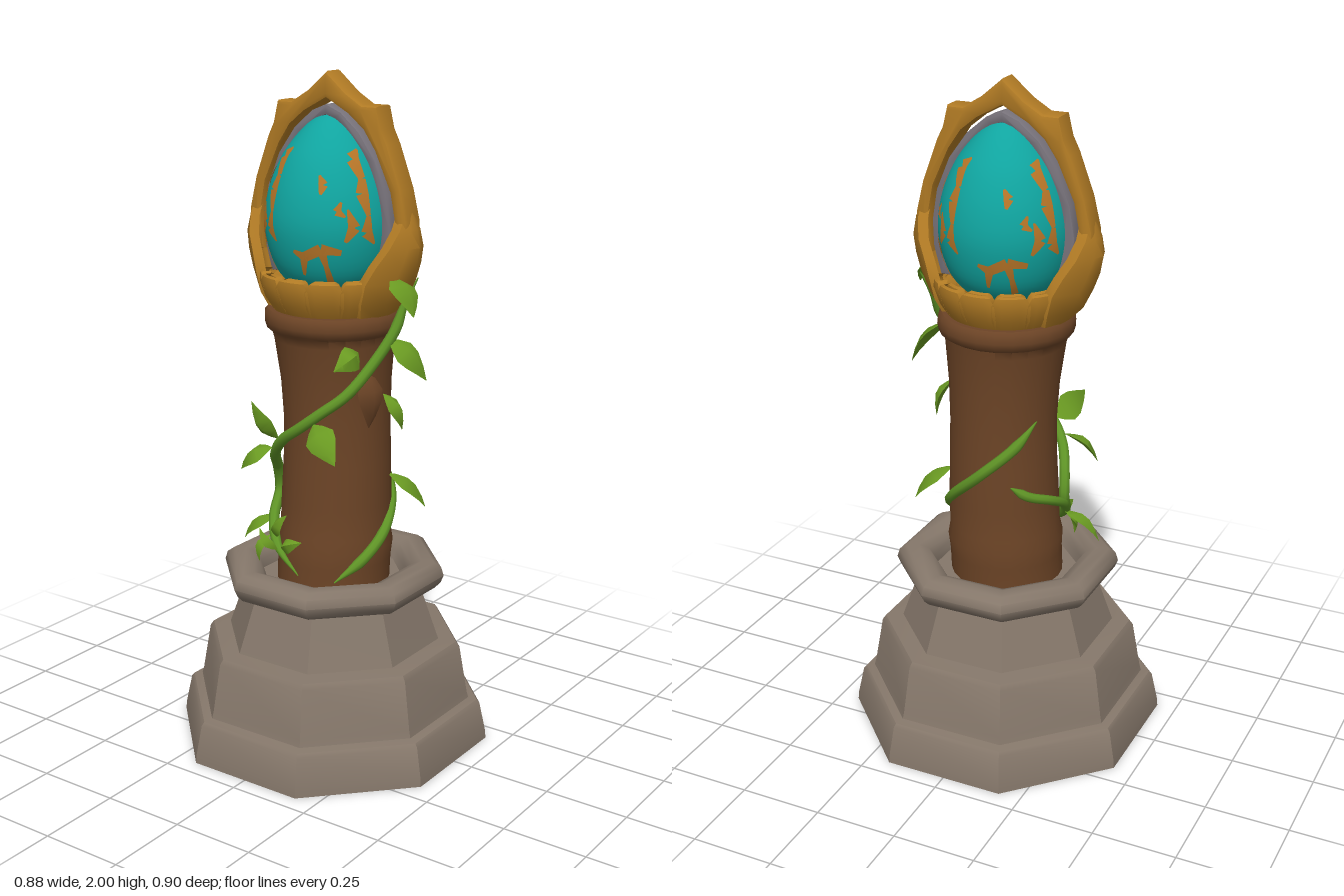
import * as THREE from 'three';
import { toCreasedNormals } from 'three/addons/utils/BufferGeometryUtils.js';

const V3 = (x, y, z) => new THREE.Vector3(x, y, z);
const mat = (name, color, side = THREE.FrontSide) => {
  const m = new THREE.MeshStandardMaterial({ color, side });
  m.name = name;
  return m;
};
const polar = (deg, y, r) => V3(r * Math.sin(deg * Math.PI / 180), y, r * Math.cos(deg * Math.PI / 180));

// Skin a list of closed rings that all have the same number of points
function loft(rings, crease = 0.7) {
  const n = rings[0].length, idx = [];
  for (let i = 0; i < rings.length - 1; i++) {
    for (let j = 0; j < n; j++) {
      const a = i * n + j, b = i * n + (j + 1) % n;
      idx.push(a, b, a + n, b, b + n, a + n);
    }
  }
  const g = new THREE.BufferGeometry().setFromPoints(rings.flat());
  g.setIndex(idx);
  return toCreasedNormals(g, crease);
}

// Curved petal facing +x; rows are [y, radius, half width, wrap of the edges]
function petal(rows, th) {
  return loft(rows.map(([y, r, hw, wrap]) => {
    const ks = [-1, -0.5, 0, 0.5, 1];
    const outer = ks.map(k => V3(r - wrap * k * k, y, -k * hw));
    const inner = [...ks].reverse().map(k => V3(r - th - wrap * k * k, y, -k * hw * 0.92));
    return [...outer, ...inner];
  }));
}

// Folded pointed leaf from base to tip, facing outward from the column
function leafGeometry(base, tip, width) {
  const dir = tip.clone().sub(base), mid = base.clone().add(tip).multiplyScalar(0.5);
  const out = V3(mid.x, 0.06, mid.z).normalize();
  const side = dir.clone().cross(out).normalize();
  const up = side.clone().cross(dir).normalize();
  const shape = [[0, 0.05], [0.15, 0.55], [0.35, 1], [0.55, 0.9], [0.8, 0.45], [1, 0.03]];
  return loft(shape.map(([t, w]) => {
    const c = base.clone().addScaledVector(dir, t).addScaledVector(up, 0.02 * Math.sin(t * Math.PI));
    const p = (s, u) => c.clone().addScaledVector(side, s * w * width / 2).addScaledVector(up, u * w);
    return [p(-1, -0.008), p(0, 0.012), p(1, -0.008), p(0, -0.006)];
  }), 0.9);
}

// Vine whose ends taper
function vineGeometry(points, radius) {
  const curve = new THREE.CatmullRomCurve3(points.map(p => polar(...p)));
  const seg = 70, sides = 8, g = new THREE.TubeGeometry(curve, seg, radius, sides);
  const pos = g.attributes.position, v = V3(0, 0, 0);
  for (let i = 0; i <= seg; i++) {
    const c = curve.getPointAt(i / seg), k = Math.min(1, 0.1 + 8 * Math.min(i, seg - i) / seg);
    for (let j = 0; j <= sides; j++) {
      const q = i * (sides + 1) + j;
      v.fromBufferAttribute(pos, q).sub(c).multiplyScalar(k).add(c);
      pos.setXYZ(q, v.x, v.y, v.z);
    }
  }
  return g;
}

export function createModel() {
  const group = new THREE.Group();
  const stone = mat('stone', 0x85776a), wood = mat('wood', 0x6c4426);
  const gold = mat('gold', 0xb07a24, THREE.DoubleSide), teal = mat('eggTeal', 0x10a5a0);
  const amber = mat('amber', 0xb87628, THREE.DoubleSide), grey = mat('greyFrame', 0x77727a);
  const green = mat('leafGreen', 0x6a9a22, THREE.DoubleSide), vineGreen = mat('vineGreen', 0x5f9426);
  const add = (name, geo, m, parent = group) => {
    const mesh = new THREE.Mesh(geo, m);
    mesh.name = name;
    parent.add(mesh);
    return mesh;
  };
  const addGroup = name => {
    const g = new THREE.Group();
    g.name = name;
    group.add(g);
    return g;
  };

  // Octagonal stone plinth and rounded rim; profiles give the distance to each flat
  const octagon = (profile, crease) => {
    const g = new THREE.LatheGeometry(profile.map(([r, y]) => new THREE.Vector2(r / Math.cos(Math.PI / 8), y)), 8);
    g.rotateY(Math.PI / 8).scale(1, 1, 1.02);
    return toCreasedNormals(g, crease);
  };
  add('plinth', octagon([[0, 0], [0.44, 0], [0.438, 0.025], [0.42, 0.115], [0.412, 0.125], [0.388, 0.13],
    [0.383, 0.15], [0.36, 0.295], [0.35, 0.31], [0.3, 0.315], [0.295, 0.33], [0.245, 0.485], [0.2, 0.5]], 0.5), stone);
  add('plinthRim', octagon([[0.24, 0.475], [0.288, 0.48], [0.303, 0.497], [0.312, 0.52], [0.305, 0.545], [0.285, 0.56],
    [0.25, 0.562], [0.222, 0.55], [0.208, 0.525], [0.2, 0.5], [0.12, 0.5]], 0.9), stone);

  // Trunk with a slight sway
  const trunk = new THREE.LatheGeometry([[0.17, 0.49], [0.17, 0.57], [0.174, 0.62], [0.166, 0.66], [0.165, 0.75], [0.16, 0.88],
    [0.158, 1], [0.163, 1.12], [0.176, 1.24], [0.181, 1.265], [0.196, 1.275], [0.201, 1.295], [0.199, 1.32], [0.19, 1.33], [0, 1.33]]
    .map(p => new THREE.Vector2(...p)), 24);
  const tp = trunk.attributes.position;
  for (let i = 0; i < tp.count; i++) {
    const s = Math.sin((tp.getY(i) - 0.49) / 0.84 * Math.PI);
    tp.setX(i, tp.getX(i) + 0.008 * s);
    tp.setZ(i, tp.getZ(i) - 0.01 * s);
  }
  add('trunk', toCreasedNormals(trunk, 0.8), wood);
  add('barkScale', leafGeometry(V3(0.155, 1.17, 0.05), V3(0.16, 1.0, 0.05), 0.09), wood);

  // Egg
  const eggPts = new THREE.SplineCurve([[0, 1.36], [0.1, 1.385], [0.165, 1.45], [0.195, 1.56], [0.186, 1.66], [0.15, 1.755],
    [0.1, 1.825], [0.05, 1.87], [0, 1.892]].map(p => new THREE.Vector2(...p))).getPoints(40);
  eggPts[0].x = eggPts[40].x = 0;
  add('egg', new THREE.LatheGeometry(eggPts, 48), teal);
  const eggRadius = y => {
    const i = Math.max(1, eggPts.findIndex(p => p.y >= y)), a = eggPts[i - 1], b = eggPts[i];
    return THREE.MathUtils.lerp(a.x, b.x, (y - a.y) / (b.y - a.y));
  };

  // Amber cracks laid on the egg; points are [angle, y, half width]
  const crackGeometry = (pts, turn) => {
    const verts = [], idx = [];
    for (let i = 0; i < pts.length - 1; i++) {
      const [a0, y0, w0] = pts[i], [a1, y1, w1] = pts[i + 1];
      const dx = (a1 - a0) * 0.0032, dy = y1 - y0, len = Math.hypot(dx, dy);
      for (let s = 0; s <= 4; s++) {
        const t = s / 4, w = w0 + (w1 - w0) * t;
        for (const k of [-1, 0, 1]) {
          const y = y0 + dy * t + k * w * dx / len, r = eggRadius(y) + 0.003;
          const a = a0 + (a1 - a0) * t - k * w * dy / len / r * 57.3;
          verts.push(polar(a + turn, y, r));
        }
        const q = verts.length - 3;
        if (s) for (const j of [0, 1]) idx.push(q + j - 3, q + j, q + j - 2, q + j - 2, q + j, q + j + 1);
      }
    }
    const g = new THREE.BufferGeometry().setFromPoints(verts);
    g.setIndex(idx);
    g.computeVertexNormals();
    return g;
  };
  const cracks = [
    [[-24, 1.795, 0.003], [-33, 1.77, 0.02], [-27, 1.72, 0.011], [-29, 1.68, 0.02], [-25, 1.62, 0.007], [-27, 1.575, 0.018], [-19, 1.54, 0.003]],
    [[22, 1.73, 0.003], [26, 1.705, 0.014], [24, 1.68, 0.004]],
    [[0, 1.52, 0.005], [10, 1.505, 0.014], [25, 1.53, 0.016], [42, 1.52, 0.008]],
    [[25, 1.53, 0.014], [29, 1.48, 0.007], [33, 1.43, 0.01]],
    [[10, 1.51, 0.014], [7, 1.45, 0.004]],
    [[47, 1.64, 0.003], [52, 1.59, 0.018], [45, 1.55, 0.005]],
    [[-48, 1.66, 0.003], [-52, 1.635, 0.012], [-45, 1.62, 0.003]],
  ];
  const crackGroup = addGroup('eggCracks');
  for (const turn of [0, 90, 180, 270]) cracks.forEach(c => add('eggCrack', crackGeometry(c, turn), amber, crackGroup));

  // Gold cup of small petals around the egg
  const cup = addGroup('cup');
  add('cupBowl', new THREE.LatheGeometry([[0.14, 1.322], [0.165, 1.33], [0.185, 1.37], [0.19, 1.41], [0.175, 1.42], [0.15, 1.4]]
    .map(p => new THREE.Vector2(...p)), 24), gold, cup);
  const small = petal([[1.32, 0.168, 0.042, 0.006], [1.36, 0.195, 0.053, 0.008], [1.41, 0.212, 0.055, 0.009],
    [1.432, 0.21, 0.042, 0.006], [1.437, 0.203, 0.03, 0.004]], 0.025);
  for (const face of [90, 270]) {
    for (let i = -2; i <= 2; i++) {
      add('cupPetal', small, gold, cup).rotation.y = (face + i * 28) * Math.PI / 180;
    }
  }

  // Large side petals
  const large = petal([[1.325, 0.19, 0.095, 0.03], [1.37, 0.235, 0.115, 0.06], [1.43, 0.265, 0.117, 0.075], [1.48, 0.284, 0.1, 0.07],
    [1.53, 0.293, 0.078, 0.05], [1.58, 0.284, 0.05, 0.025], [1.615, 0.27, 0.03, 0.01], [1.645, 0.258, 0.004, 0.001]], 0.03);
  for (const a of [0, Math.PI]) add('sidePetal', large, gold).rotation.y = a;

  // Pointed gold arch over the egg
  const mirrorShape = (half, closeHalf) => {
    const outer = [...half, ...half.slice(0, -1).reverse().map(([x, y]) => [-x, y])];
    const inner = [...closeHalf.map(([x, y]) => [-x, y]), ...closeHalf.slice(0, -1).reverse()];
    return new THREE.Shape([...outer, ...inner].map(p => new THREE.Vector2(...p)));
  };
  const plate = (shape, depth, bevel) => {
    const g = new THREE.ExtrudeGeometry(shape, { depth: depth - 2 * bevel, bevelEnabled: true, bevelThickness: bevel,
      bevelSize: bevel, bevelOffset: -bevel, bevelSegments: 2 });
    return toCreasedNormals(g.translate(0, 0, bevel - depth / 2), 0.6);
  };
  add('arch', plate(mirrorShape(
    [[0.27, 1.48], [0.272, 1.6], [0.25, 1.69], [0.205, 1.81], [0.185, 1.85], [0.17, 1.912], [0.12, 1.912], [0.065, 1.945], [0, 2]],
    [[0.225, 1.48], [0.23, 1.6], [0.214, 1.68], [0.163, 1.79], [0.125, 1.845], [0.075, 1.885], [0, 1.925]]), 0.078, 0.012), gold);

  // Thin grey frame hugging the egg
  add('eggFrame', plate(mirrorShape(
    [[0.195, 1.42], [0.217, 1.5], [0.22, 1.58], [0.205, 1.67], [0.165, 1.765], [0.11, 1.84], [0.05, 1.89], [0, 1.91]],
    [[0.14, 1.42], [0.175, 1.5], [0.18, 1.58], [0.17, 1.67], [0.13, 1.765], [0.08, 1.83], [0.03, 1.87], [0, 1.88]]), 0.074, 0.006), grey);

  // Vines; points are [angle, y, radius]
  const vines = addGroup('vines');
  add('mainVine', vineGeometry([[106, 1.43, 0.255], [100, 1.36, 0.225], [92, 1.29, 0.212], [80, 1.22, 0.19], [48, 1.11, 0.178], [22, 1.05, 0.172],
    [0, 1, 0.17], [-25, 0.95, 0.17], [-48, 0.89, 0.172], [-72, 0.82, 0.172], [-78, 0.75, 0.174], [-58, 0.68, 0.178],
    [-28, 0.615, 0.182], [0, 0.55, 0.18]], 0.016), vineGreen, vines);
  add('backVine', vineGeometry([[36, 0.54, 0.18], [65, 0.61, 0.183], [95, 0.68, 0.178], [138, 0.77, 0.176], [180, 0.88, 0.178],
    [213, 0.97, 0.172], [236, 1.04, 0.165]], 0.016), vineGreen, vines);
  add('sideVine', vineGeometry([[-62, 0.69, 0.175], [-85, 0.74, 0.176], [-110, 0.78, 0.176], [-135, 0.81, 0.174], [-152, 0.84, 0.168]], 0.014), vineGreen, vines);

  // Leaves: base, tip, width
  const leaves = addGroup('leaves');
  [
    [[0.23, 1.45, 0.04], [0.32, 1.35, 0.07], 0.1], [[0.2, 1.26, 0.01], [0.29, 1.14, -0.05], 0.1],
    [[0.15, 1.23, 0.09], [0.15, 1.2, 0.21], 0.075], [[0.17, 1.09, -0.01], [0.21, 0.98, -0.05], 0.07],
    [[0.05, 1.02, 0.17], [0.16, 0.93, 0.22], 0.09], [[-0.09, 0.95, 0.15], [-0.18, 1.05, 0.16], 0.09],
    [[-0.13, 0.91, 0.13], [-0.23, 0.83, 0.15], 0.08], [[0.15, 0.83, -0.07], [0.25, 0.73, -0.12], 0.1],
    [[-0.15, 0.68, 0.08], [-0.26, 0.59, 0.1], 0.075], [[-0.13, 0.64, 0.14], [-0.15, 0.56, 0.17], 0.045],
    [[-0.09, 0.65, 0.165], [-0.04, 0.73, 0.18], 0.045], [[-0.06, 0.62, 0.175], [0.02, 0.66, 0.19], 0.045],
    [[-0.08, 0.61, 0.17], [-0.14, 0.67, 0.18], 0.04],
  ].forEach(([b, t, w]) => add('leaf', leafGeometry(V3(...b), V3(...t), w), green, leaves));

  return group;
}
